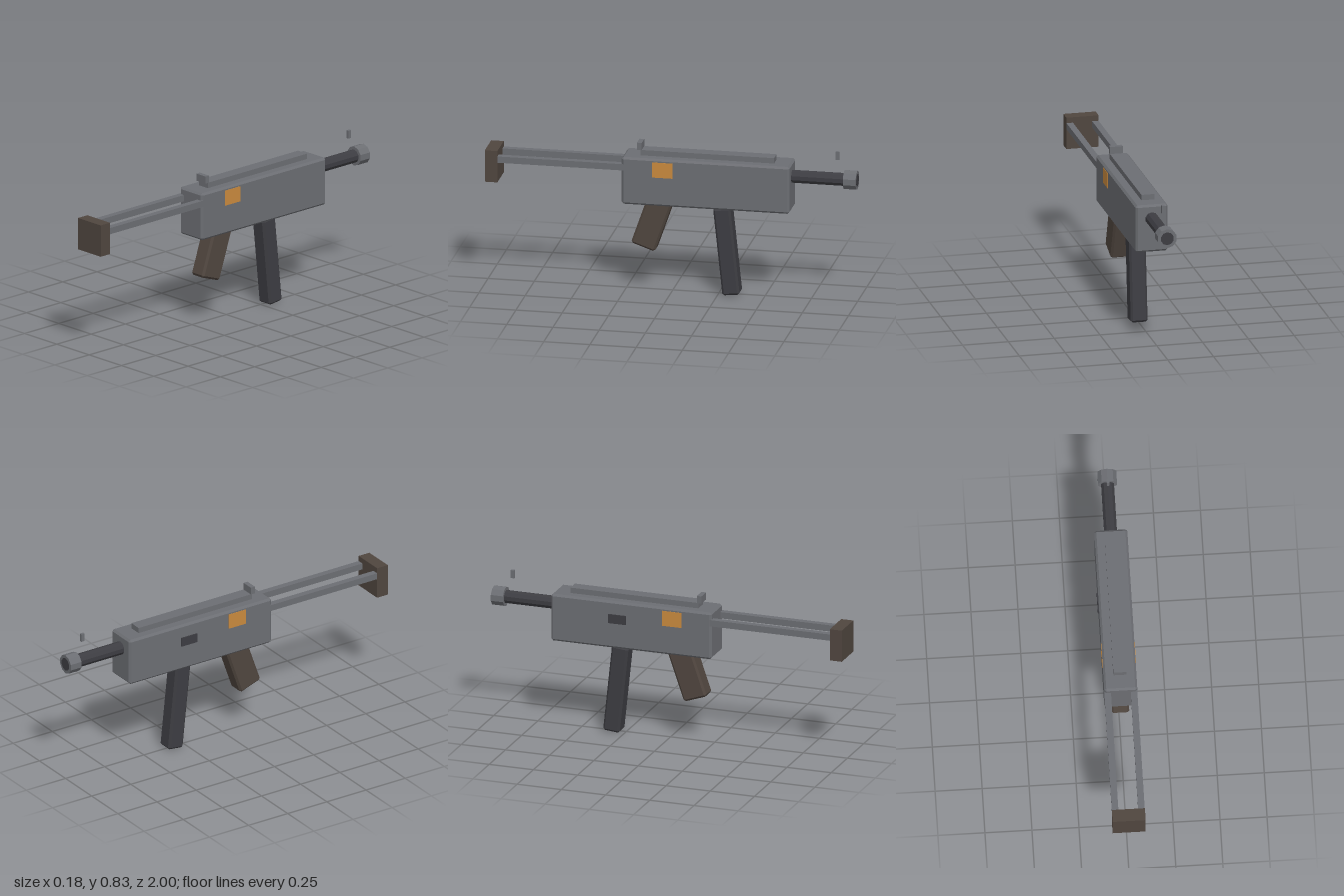
import * as THREE from 'three';
import { ConvexGeometry } from 'three/addons/geometries/ConvexGeometry.js';

const material = (color) => new THREE.MeshStandardMaterial({ color, flatShading: true });

// Box with one flat bevel along every edge
function chamferedBox(w, h, d, c) {
  const points = [];
  for (const x of [-1, 1]) for (const y of [-1, 1]) for (const z of [-1, 1]) {
    for (let axis = 0; axis < 3; axis++) {
      const inset = [0, 1, 2].map((i) => (i === axis ? 0 : c));
      points.push(new THREE.Vector3(x * (w / 2 - inset[0]), y * (h / 2 - inset[1]), z * (d / 2 - inset[2])));
    }
  }
  return new ConvexGeometry(points);
}

export function createModel() {
  const group = new THREE.Group();
  const steel = material(0x6c6e73);
  const dark = material(0x3d3d42);
  const brown = material(0x50463f);
  const orange = material(0xc98a3e);
  const midX = 0.002;

  function add(name, geometry, mat, x, y, z, tilt = 0) {
    const mesh = new THREE.Mesh(geometry, mat);
    mesh.name = name;
    mesh.position.set(x, y, z);
    mesh.rotation.x = tilt;
    group.add(mesh);
    return mesh;
  }
  const box = (name, mat, w, h, d, x, y, z) => add(name, new THREE.BoxGeometry(w, h, d), mat, x, y, z);

  // Ten-sided cylinder lying along z between two depths
  function tube(name, mat, radius, z0, z1) {
    const geometry = new THREE.CylinderGeometry(radius, radius, Math.abs(z1 - z0), 10);
    add(name, geometry, mat, midX, 0.684, (z0 + z1) / 2, -Math.PI / 2);
  }

  // Receiver and top rail
  add('receiver', chamferedBox(0.176, 0.262, 0.908, 0.011), steel, midX, 0.629, -0.193);
  box('topRail', steel, 0.07, 0.036, 0.724, midX, 0.772, -0.193);

  // Barrel, its end just showing in the muzzle
  tube('barrel', dark, 0.036, -0.6, -1.0);
  tube('muzzle', steel, 0.053, -0.93, -0.999);

  // Sights
  box('rearSight', steel, 0.07, 0.04, 0.026, midX, 0.809, 0.174);
  box('frontSight', steel, 0.014, 0.044, 0.02, midX, 0.815, -0.892);

  // Side panels and ejection port
  for (const side of [-1, 1]) {
    box('sidePanel', orange, 0.006, 0.084, 0.11, midX + side * 0.087, 0.7, 0.039);
  }
  box('ejectionPort', dark, 0.014, 0.05, 0.1, -0.085, 0.663, -0.27);

  // Grip, guard and magazine
  add('grip', chamferedBox(0.096, 0.29, 0.136, 0.011), brown, midX, 0.387, 0.107, -0.335);
  box('triggerGuard', steel, 0.045, 0.02, 0.13, midX, 0.492, -0.037);
  add('magazine', chamferedBox(0.092, 0.485, 0.094, 0.011), dark, midX, 0.252, -0.297, 0.105);

  // Stock: two rods and a butt plate
  for (const side of [-1, 1]) {
    box('stockRod', steel, 0.035, 0.035, 0.69, midX + side * 0.07, 0.704, 0.595);
  }
  box('buttPlate', brown, 0.176, 0.175, 0.068, midX, 0.664, 0.966);

  return group;
}
